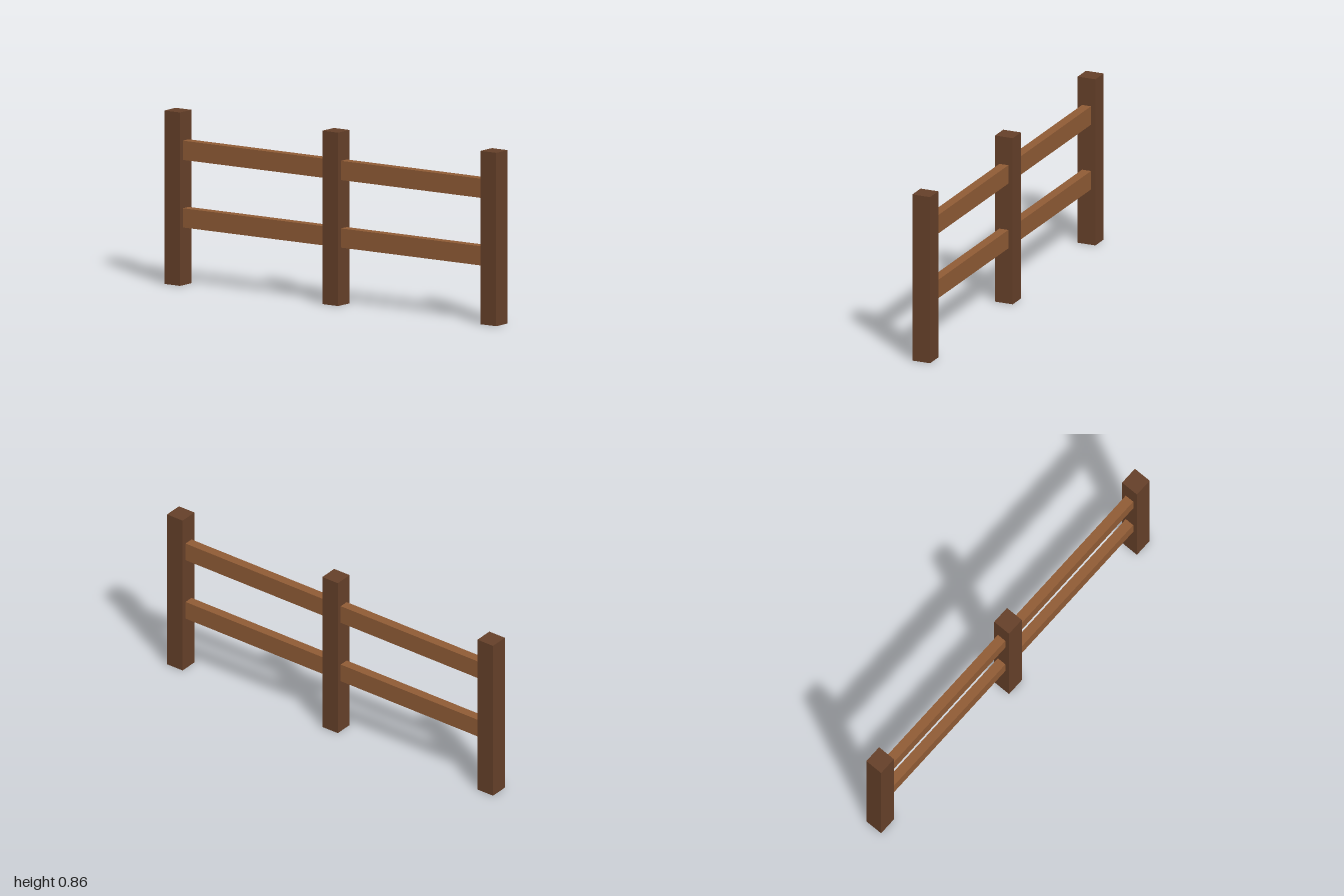
import * as THREE from 'three';

export function createModel() {
  const fence = new THREE.Group();
  fence.name = 'fence';

  const postWood = new THREE.MeshStandardMaterial({ color: 0x654029 });
  const railWood = new THREE.MeshStandardMaterial({ color: 0x8f5b35 });

  const POST_WIDTH = 0.095;
  const POST_HEIGHT = 0.857;

  function addBeam(name, size, position, material) {
    const beam = new THREE.Mesh(new THREE.BoxGeometry(...size), material);
    beam.name = name;
    beam.position.set(...position);
    fence.add(beam);
  }

  // Three square posts
  const postX = 1 - POST_WIDTH / 2;
  for (const [name, x] of [['rightPost', -postX], ['middlePost', 0], ['leftPost', postX]]) {
    addBeam(name, [POST_WIDTH, POST_HEIGHT, POST_WIDTH], [x, POST_HEIGHT / 2, 0], postWood);
  }

  // Two rails running through the posts, ending just inside the outer faces
  for (const [name, y] of [['lowerRail', 0.333], ['upperRail', 0.667]]) {
    addBeam(name, [1.996, 0.095, 0.048], [0, y, 0], railWood);
  }

  return fence;
}
